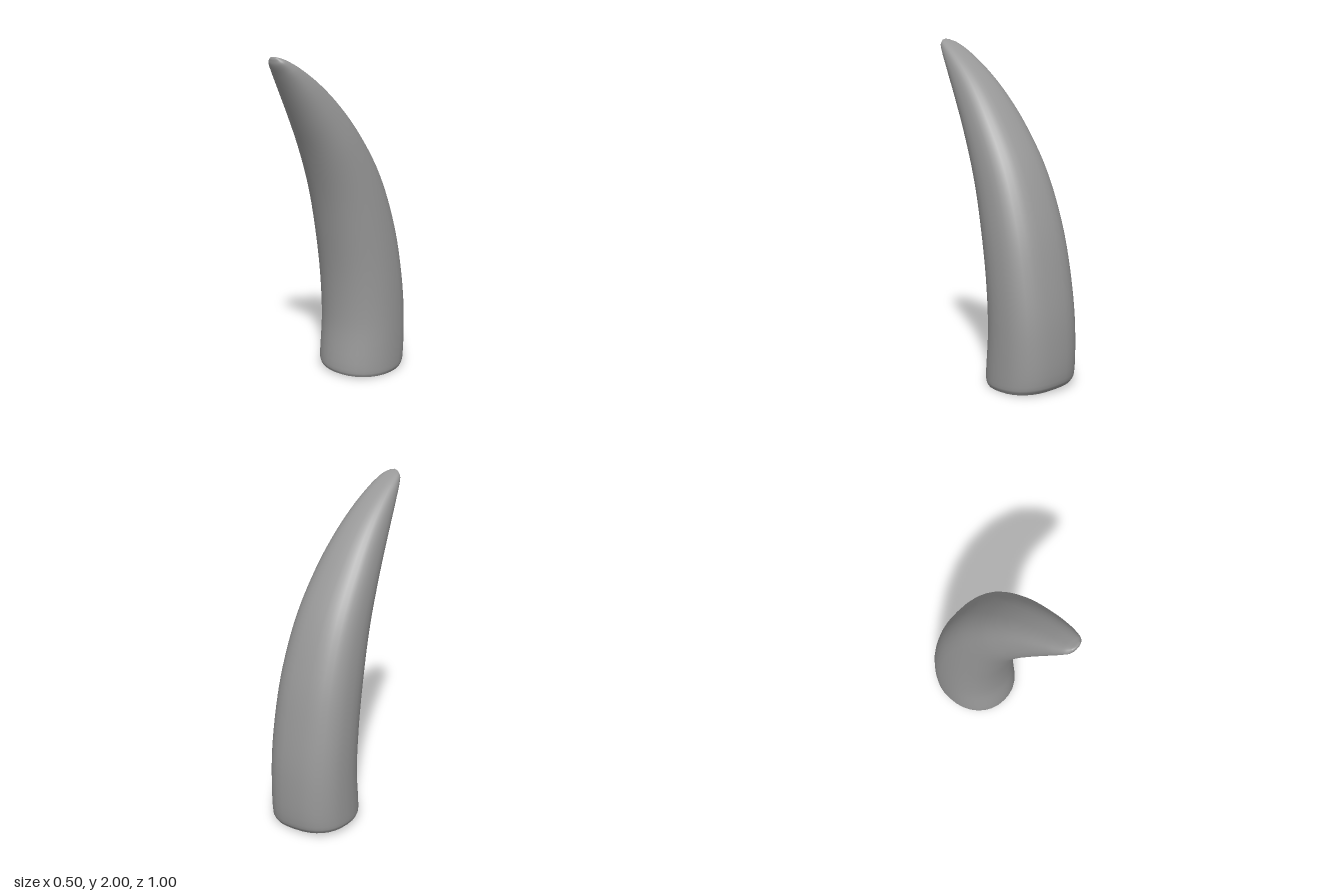
import * as THREE from 'three';

const SIDES = 32, ROWS = 60;

// Stations from base to tip: front z, front y, back z, back y, half width
const stations = [
  [-0.012, 0.017, -0.475, 0.017, 0.235],
  [-0.003, 0.04, -0.495, 0.05, 0.246],
  [-0.025, 0.32, -0.5, 0.35, 0.248],
  [-0.01, 0.6, -0.462, 0.65, 0.245],
  [0.037, 0.88, -0.39, 0.96, 0.234],
  [0.105, 1.15, -0.26, 1.28, 0.212],
  [0.2, 1.4, -0.08, 1.55, 0.182],
  [0.3, 1.6, 0.075, 1.725, 0.149],
  [0.39, 1.765, 0.22, 1.85, 0.117],
  [0.46, 1.89, 0.36, 1.943, 0.085],
  [0.495, 1.955, 0.445, 1.985, 0.058],
  [0.5, 1.985, 0.485, 1.998, 0.028],
];

const signedPow = (v, p) => Math.sign(v) * Math.abs(v) ** p;

// Interpolated stations, as smooth curves along the length
const frontCurve = new THREE.CatmullRomCurve3(stations.map(s => new THREE.Vector3(0, s[1], s[0])));
const backCurve = new THREE.CatmullRomCurve3(stations.map(s => new THREE.Vector3(0, s[3], s[2])));
const widthCurve = new THREE.CatmullRomCurve3(stations.map((s, i) => new THREE.Vector3(s[4], i, 0)));

// One cross-section: round at the front, squarer and widest towards the back
function ring(t) {
  const front = frontCurve.getPoint(t), back = backCurve.getPoint(t);
  const width = widthCurve.getPoint(t).x;
  const points = [];
  for (let j = 0; j < SIDES; j++) {
    const a = (j / SIDES) * Math.PI * 2, s = Math.sin(a);
    const power = s > 0 ? 0.95 : 0.8;
    const x = width * signedPow(Math.cos(a), power);
    const p = back.clone().lerp(front, 0.46 + (s > 0 ? 0.54 : 0.46) * signedPow(s, power));
    // The base is cut at a slight sideways slant that fades upward
    const slant = Math.max(0, 1 - p.y / 0.4) * 0.07;
    points.push(new THREE.Vector3(x, p.y - slant * x, p.z));
  }
  return points;
}

function toMesh(points, index, name) {
  const geometry = new THREE.BufferGeometry().setFromPoints(points);
  geometry.setIndex(index);
  geometry.computeVertexNormals();
  const mesh = new THREE.Mesh(geometry, new THREE.MeshStandardMaterial({ color: 0x999999 }));
  mesh.name = name;
  return mesh;
}

export function createModel() {
  const group = new THREE.Group();
  group.name = 'horn';

  // Curved, tapering body
  const points = [], index = [];
  for (let i = 0; i <= ROWS; i++) points.push(...ring(i / ROWS));
  for (let i = 0; i < ROWS; i++) {
    for (let j = 0; j < SIDES; j++) {
      const k = (j + 1) % SIDES;
      const a = i * SIDES + j, b = i * SIDES + k;
      index.push(a, a + SIDES, b, b, a + SIDES, b + SIDES);
    }
  }
  // Closed tip
  const tip = points.length;
  points.push(new THREE.Vector3(0, 2, 0.497));
  for (let j = 0; j < SIDES; j++) index.push(ROWS * SIDES + j, tip, ROWS * SIDES + (j + 1) % SIDES);
  group.add(toMesh(points, index, 'hornBody'));

  // Flat underside
  const rim = ring(0), capIndex = [];
  const centre = rim.reduce((sum, p) => sum.add(p), new THREE.Vector3()).divideScalar(SIDES);
  for (let j = 0; j < SIDES; j++) capIndex.push(SIDES, j, (j + 1) % SIDES);
  group.add(toMesh([...rim, centre], capIndex, 'hornBase'));

  return group;
}
